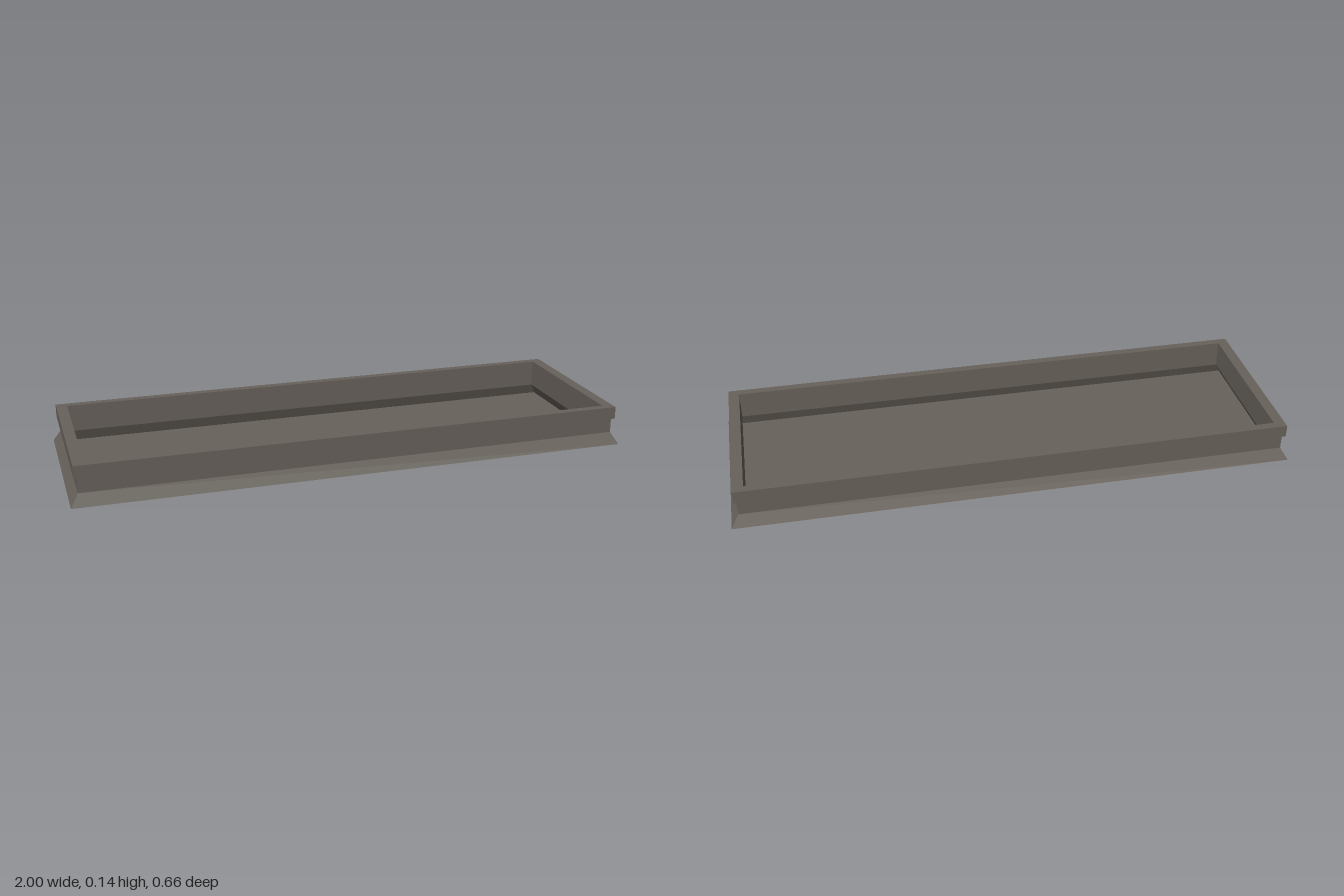
import * as THREE from 'three';

const HALF_X = 1, HALF_Z = 0.331;
const X_SCALE = 1.33; // insets are a little wider on the short ends

// Sweeps a profile of [inset, y] points around the rectangle, with mitred corners.
function band(profile, material, name) {
  const pos = [];
  const corner = ([inset, y], k) => {
    const sx = k % 4 === 0 || k % 4 === 3 ? 1 : -1;
    const sz = k % 4 < 2 ? 1 : -1;
    return [sx * (HALF_X - inset * X_SCALE), y, sz * (HALF_Z - inset)];
  };
  for (let i = 0; i < profile.length - 1; i++) {
    for (let k = 0; k < 4; k++) {
      const a = corner(profile[i], k), b = corner(profile[i], k + 1);
      const c = corner(profile[i + 1], k + 1), d = corner(profile[i + 1], k);
      pos.push(...a, ...d, ...c, ...a, ...c, ...b);
    }
  }
  const geo = new THREE.BufferGeometry();
  geo.setAttribute('position', new THREE.Float32BufferAttribute(pos, 3));
  geo.computeVertexNormals();
  const mesh = new THREE.Mesh(geo, material);
  mesh.name = name;
  return mesh;
}

export function createModel() {
  const group = new THREE.Group();
  group.name = 'tray';
  const stone = new THREE.MeshStandardMaterial({ color: 0x67615a, side: THREE.DoubleSide });
  stone.name = 'warm grey';

  // Profiles run up the outside, over the top and down the inside.
  group.add(band([[0.024, 0], [0, 0], [0.0205, 0.044]], stone, 'flaredBase'));
  group.add(band([[0.0205, 0.044], [0.0205, 0.098]], stone, 'outerWall'));
  group.add(band([[0.0205, 0.098], [0.0125, 0.098], [0.0125, 0.143], [0.042, 0.143]], stone, 'rim'));
  group.add(band([[0.042, 0.143], [0.042, 0.044], [0.024, 0]], stone, 'innerWall'));

  // Floor plate filling the bottom of the frame
  const floor = new THREE.Mesh(
    new THREE.BoxGeometry(2 * (HALF_X - 0.024 * X_SCALE), 0.003, 2 * (HALF_Z - 0.024)), stone);
  floor.position.y = 0.0015;
  floor.name = 'floor';
  group.add(floor);
  return group;
}
